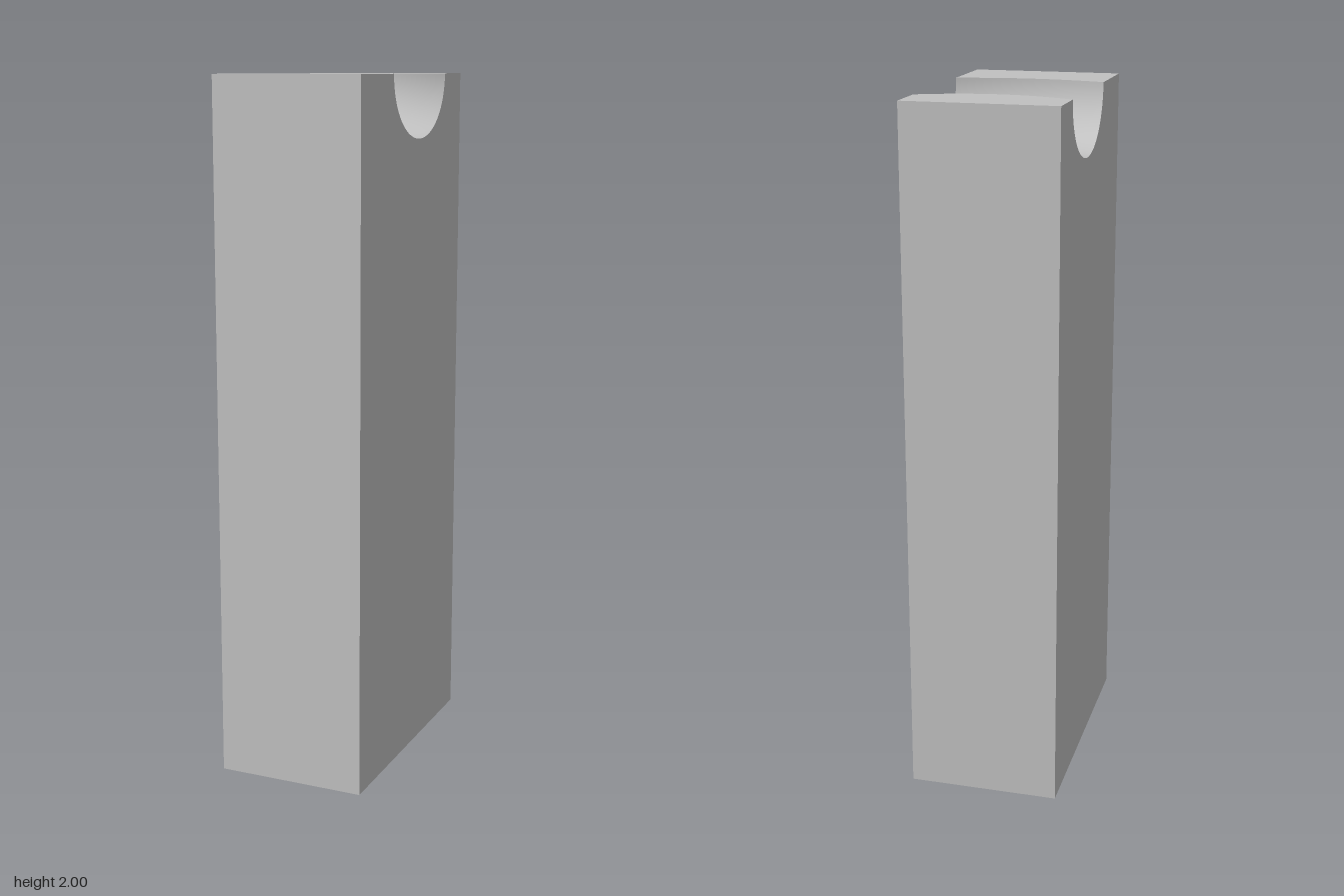
import * as THREE from 'three';
import { mergeVertices } from 'three/addons/utils/BufferGeometryUtils.js';

const HX = 0.217, HZ = 0.379, H = 2; // half width, half depth, height of the block
const DEPTH = 0.18, BORE = 0.103;    // saddle depth and bore radius

// Plan outline of the curved saddle groove
const backEdge = x => -0.187 - 1.25 * x * x;
const frontEdge = x => 0.186 - 0.71 * x * x;
const edgeZ = (x, v) => THREE.MathUtils.lerp(backEdge(x), frontEdge(x), (v + 1) / 2);

// Height of the groove surface above a plan point
function grooveY(x, z) {
  const b = backEdge(x), f = frontEdge(x);
  const v = THREE.MathUtils.clamp((2 * z - f - b) / (f - b), -1, 1);
  return H - DEPTH * Math.sqrt(1 - v * v);
}

// Surface patch from a rule fn(s, t) -> [x, y, z]
function patch(n, m, fn) {
  const pos = [], idx = [];
  for (let i = 0; i <= n; i++) {
    for (let j = 0; j <= m; j++) {
      pos.push(...fn(i / n, j / m));
      if (i < n && j < m) {
        const a = i * (m + 1) + j, b = a + m + 1;
        idx.push(a, b, b + 1, a, b + 1, a + 1);
      }
    }
  }
  let g = new THREE.BufferGeometry();
  g.setAttribute('position', new THREE.Float32BufferAttribute(pos, 3));
  g.setIndex(idx);
  g = mergeVertices(g, 1e-5);
  g.computeVertexNormals();
  return g;
}

// Walk round the groove outline, s = 0..1, starting at the right back corner
function outline(s) {
  const k = Math.min(3, Math.floor(s * 4)), w = 2 * (s * 4 - k) - 1;
  const e = Math.sin(w * Math.PI / 2);
  const [u, v] = [[1, e], [-w, 1], [-1, -e], [w, -1]][k];
  return [u * HX, edgeZ(u * HX, v)];
}

// End wall with the groove notch cut from its top
function endWall(side) {
  const s = new THREE.Shape();
  s.moveTo(-HZ, 0);
  s.lineTo(HZ, 0);
  s.lineTo(HZ, H);
  for (let i = 0; i <= 48; i++) {
    const v = Math.cos(i / 48 * Math.PI);
    const z = edgeZ(HX, -side * v);
    s.lineTo(-side * z, H - DEPTH * Math.sqrt(Math.max(0, 1 - v * v)));
  }
  s.lineTo(-HZ, H);
  s.closePath();
  return new THREE.ShapeGeometry(s).rotateY(side * Math.PI / 2).translate(side * HX, 0, 0);
}

export function createModel() {
  const model = new THREE.Group();
  const block = new THREE.Group();
  block.name = 'saddleBlock';
  block.rotation.y = 0.037;
  model.add(block);

  const grey = new THREE.MeshStandardMaterial({ color: 0xc0c0c0 });
  grey.name = 'light grey';
  const add = (name, geometry) => {
    const mesh = new THREE.Mesh(geometry, grey);
    mesh.name = name;
    block.add(mesh);
  };

  // Outer walls
  add('frontWall', new THREE.PlaneGeometry(2 * HX, H).translate(0, H / 2, HZ));
  add('backWall', new THREE.PlaneGeometry(2 * HX, H).rotateY(Math.PI).translate(0, H / 2, -HZ));
  add('leftWall', endWall(1));
  add('rightWall', endWall(-1));

  // Flat shoulders on both sides of the groove
  const acrossX = t => (2 * t - 1) * HX;
  add('frontShoulder', patch(1, 32, (s, t) => {
    const x = acrossX(t);
    return [x, H, THREE.MathUtils.lerp(frontEdge(x), HZ, s)];
  }));
  add('backShoulder', patch(1, 32, (s, t) => {
    const x = acrossX(t);
    return [x, H, THREE.MathUtils.lerp(-HZ, backEdge(x), s)];
  }));

  // Curved groove, running from the bore rim out to the outline
  add('groove', patch(128, 24, (s, t) => {
    const [ox, oz] = outline(s), a = Math.atan2(oz, ox);
    const e = Math.sin(t * Math.PI / 2);
    const x = THREE.MathUtils.lerp(BORE * Math.cos(a), ox, e);
    const z = THREE.MathUtils.lerp(BORE * Math.sin(a), oz, e);
    return [x, t === 1 && Math.abs(ox) < HX - 1e-6 ? H : grooveY(x, z), z];
  }));

  // Vertical bore through the whole block
  add('bore', patch(64, 1, (s, t) => {
    const a = s * 2 * Math.PI, x = BORE * Math.cos(a), z = BORE * Math.sin(a);
    return [x, t * grooveY(x, z), z];
  }));

  // Underside with the bore opening
  const base = new THREE.Shape();
  base.moveTo(-HX, -HZ).lineTo(HX, -HZ).lineTo(HX, HZ).lineTo(-HX, HZ).closePath();
  base.holes.push(new THREE.Path().absarc(0, 0, BORE, 0, Math.PI * 2, true));
  add('underside', new THREE.ShapeGeometry(base, 64).rotateX(Math.PI / 2));

  return model;
}
